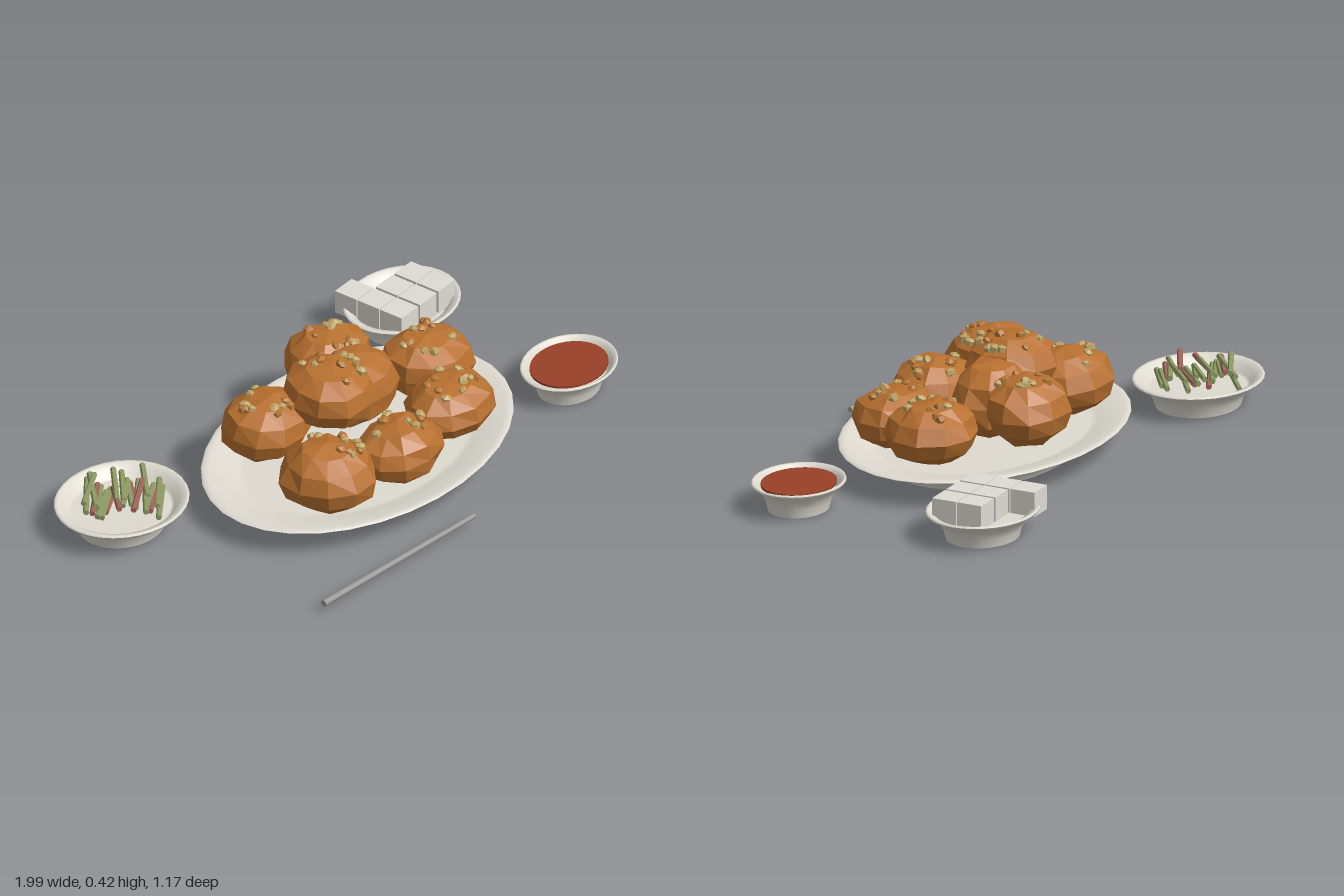
import * as THREE from 'three';

const mat = (name, color, side = THREE.FrontSide, flatShading = false) => {
  const m = new THREE.MeshStandardMaterial({ color, side, flatShading });
  m.name = name;
  return m;
};

export function createModel() {
  const root = new THREE.Group();
  root.name = 'friedChickenSet';
  const ceramic = mat('ceramic', 0xdedad0, THREE.DoubleSide);
  const radish = mat('radish', 0xdedbd3);
  const crust = mat('crust', 0xb87030, THREE.FrontSide, true);
  const crumbBrown = mat('brownCrumb', 0xb47636, THREE.FrontSide, true);
  const crumbTan = mat('nutCrumb', 0xbca264, THREE.FrontSide, true);
  const sauceMat = mat('sauce', 0x984028);
  const green = mat('greenPickle', 0x8d9a64, THREE.FrontSide, true);
  const pink = mat('pinkPickle', 0xa0665a, THREE.FrontSide, true);
  const steel = mat('steel', 0x9a9894);

  let seed = 7;
  const rnd = () => {
    seed = (seed * 16807) % 2147483647;
    return seed / 2147483647;
  };
  const add = (parent, name, geo, material, x = 0, y = 0, z = 0) => {
    const m = new THREE.Mesh(geo, material);
    m.name = name;
    m.position.set(x, y, z);
    parent.add(m);
    return m;
  };

  // Oval dishes: outer wall, inner surface and base keep their edges crisp
  const lathe = pts => new THREE.LatheGeometry(pts.map(p => new THREE.Vector2(p[0], p[1])), 32);
  function dish(name, x, z, rx, rz, floor, inner) {
    const g = new THREE.Group();
    g.name = name;
    g.position.set(x, 0, z);
    g.scale.set(rx, 1, rz);
    add(g, 'outerWall', lathe([[0.65, 0], [0.69, 0.03], [0.76, 0.056], [0.88, 0.076], [0.985, 0.088], [1, 0.094]]), ceramic);
    add(g, 'innerSurface', lathe([[1, 0.094], [0.985, 0.1], [0.95, 0.098], [inner + 0.07, 0.088], [inner, floor + 0.004], [inner - 0.05, floor], [0, floor]]), ceramic);
    add(g, 'base', lathe([[0, 0], [0.65, 0]]), ceramic);
    root.add(g);
  }
  dish('platter', 0.01, 0.03, 0.64, 0.44, 0.07, 0.77);
  dish('pickleDish', -0.755, -0.375, 0.245, 0.215, 0.06, 0.78);
  dish('radishDish', 0.77, -0.357, 0.22, 0.183, 0.06, 0.77);
  dish('sauceDish', 0.8, 0.317, 0.183, 0.152, 0.06, 0.8);

  // Sauce surface
  const sauce = add(root, 'sauce', new THREE.CylinderGeometry(1, 1, 0.008, 32), sauceMat, 0.8, 0.088, 0.317);
  sauce.scale.set(0.147, 1, 0.122);

  // Chicken pieces: faceted spheres with the same jitter on shared corners
  function pieceGeometry(k) {
    const geo = new THREE.SphereGeometry(1, 10, 6);
    const p = geo.attributes.position;
    const v = new THREE.Vector3();
    for (let i = 0; i < p.count; i++) {
      v.fromBufferAttribute(p, i);
      const a = Math.round(v.x * 50), b = Math.round(v.y * 50), c = Math.round(v.z * 50);
      const h = Math.sin(a * 12.9 + b * 78.2 + c * 37.7 + k * 5.3) * 43758.5;
      v.multiplyScalar(0.95 + 0.13 * (h - Math.floor(h)));
      p.setXYZ(i, v.x, v.y, v.z);
    }
    return geo;
  }
  const crumbGeo = new THREE.SphereGeometry(1, 6, 3);
  const pieces = [ // x, y, z, rx, ry, rz
    [-0.24, 0.21, -0.16, 0.17, 0.11, 0.145],
    [0.165, 0.235, -0.21, 0.165, 0.115, 0.14],
    [0.41, 0.195, 0.02, 0.168, 0.105, 0.15],
    [0.27, 0.175, 0.225, 0.173, 0.1, 0.142],
    [-0.05, 0.178, 0.25, 0.17, 0.1, 0.138],
    [-0.345, 0.2, 0.18, 0.165, 0.115, 0.165],
    [-0.065, 0.3, -0.03, 0.157, 0.11, 0.16],
    [0.1, 0.235, -0.045, 0.165, 0.13, 0.135],
  ];
  pieces.forEach(([x, y, z, rx, ry, rz], k) => {
    const g = new THREE.Group();
    g.name = 'chickenPiece' + (k + 1);
    g.position.set(x, y, z);
    const body = add(g, 'crust', pieceGeometry(k).rotateZ(0.25 * (rnd() - 0.5)).rotateY(rnd() * 6), crust);
    body.scale.set(rx, ry, rz);
    // Nut crumbs clustered on the top
    for (let i = 0; k < 7 && i < 11; i++) {
      const t = 0.1 + 0.6 * Math.sqrt(rnd()), a = rnd() * Math.PI * 2;
      const dx = Math.sin(t) * Math.cos(a) + 0.08, dz = Math.sin(t) * Math.sin(a);
      const dy = Math.sqrt(Math.max(0, 1 - dx * dx - dz * dz));
      const c = add(g, 'crumb', crumbGeo, i % 5 < 2 ? crumbBrown : crumbTan, dx * rx, dy * ry * 0.98, dz * rz);
      const s = 0.013 + 0.007 * rnd();
      c.scale.set(s * 1.2, s * 0.9, s);
      c.rotation.set(rnd() - 0.5, rnd() * 6, rnd() - 0.5);
    }
    root.add(g);
  });

  // Radish cubes
  const cube = new THREE.BoxGeometry(0.092, 0.085, 0.09);
  for (let r = 0; r < 3; r++)
    for (let c = 0; c < (r === 2 ? 1 : 3); c++)
      add(root, 'radishCube', cube, radish, 0.656 + c * 0.102, 0.11, -0.282 - r * 0.094);

  // Pickle strips, layered in nearly the same direction
  for (let i = 0; i < 22; i++) {
    const a = 0.35 + 0.45 * rnd();
    const across = ((i * 7) % 22) / 21 - 0.5, along = (rnd() - 0.5) * 0.1;
    const strip = add(root, 'pickleStrip', new THREE.CylinderGeometry(0.01, 0.01, 0.13 + 0.08 * rnd(), 6),
      i % 4 === 1 ? pink : green,
      -0.745 + across * 0.17 + along, 0.085 + 0.055 * (i / 21), -0.375 + across * 0.19 - along * 0.6);
    strip.rotation.set(0, a, Math.PI / 2 + (rnd() - 0.5) * 0.1, 'YXZ');
  }

  // Chopstick
  const stick = add(root, 'chopstick', new THREE.CylinderGeometry(0.009, 0.012, 0.725, 10), steel, -0.42, 0.037, 0.528);
  stick.rotation.set(0, -0.118, -Math.PI / 2 + 0.008, 'YXZ');

  return root;
}
